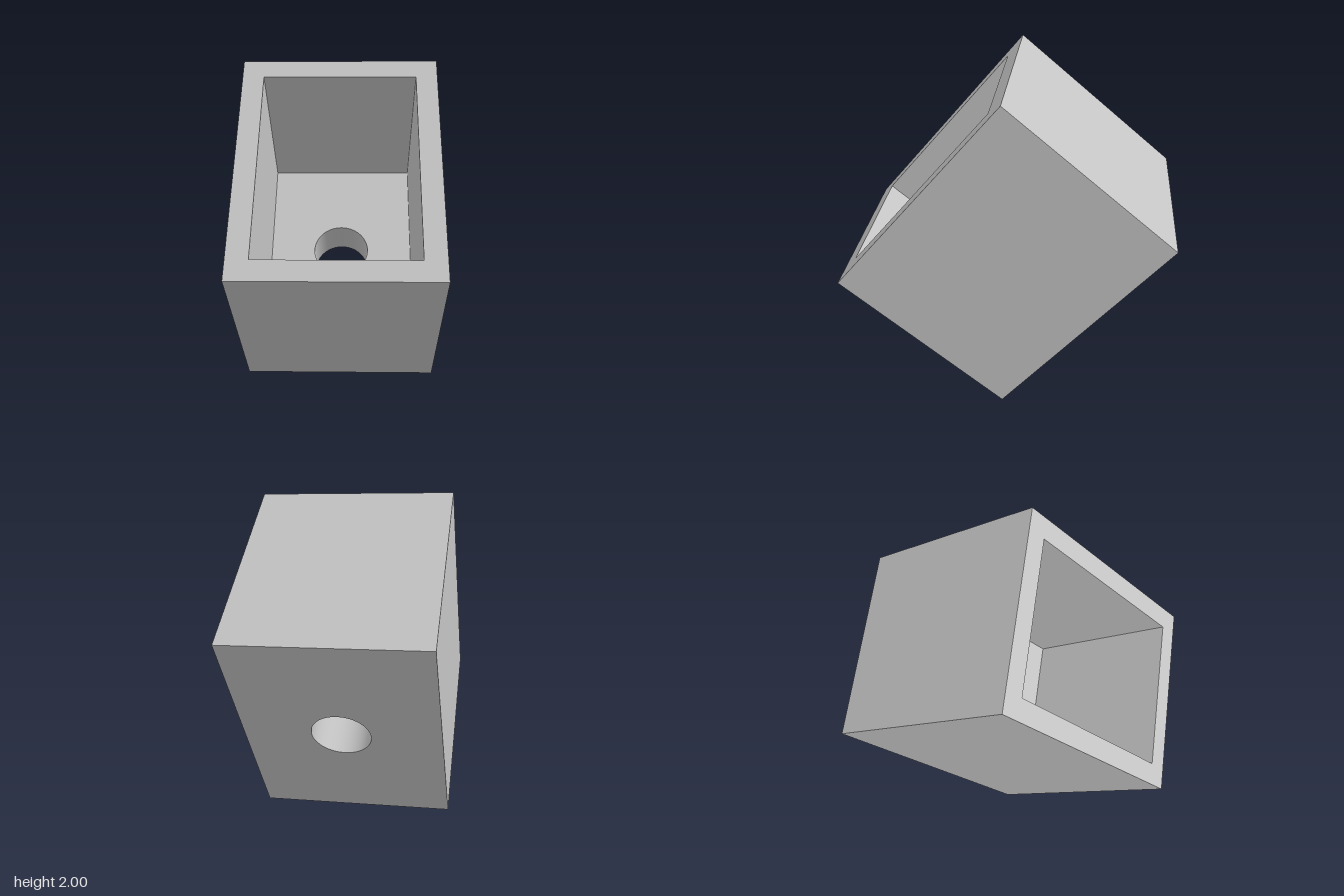
import * as THREE from 'three';
import { toCreasedNormals } from 'three/addons/utils/BufferGeometryUtils.js';

const WIDTH = 1.19, HEIGHT = 1.535, DEPTH = 1.283;
const WALL = 0.13, BACK = 0.265, HOLE_RADIUS = 0.178;
const TILT = THREE.MathUtils.degToRad(40);

// Centred rectangular outline
function rectangle(PathType, w, h) {
  return new PathType([
    new THREE.Vector2(-w / 2, -h / 2), new THREE.Vector2(w / 2, -h / 2),
    new THREE.Vector2(w / 2, h / 2), new THREE.Vector2(-w / 2, h / 2),
  ]);
}

// Box-shaped slab with one cut-out, running from z0 forward
function slab(name, cutout, z0, depth, material) {
  const shape = rectangle(THREE.Shape, WIDTH, HEIGHT);
  shape.holes.push(cutout);
  const extruded = new THREE.ExtrudeGeometry(shape, { depth, bevelEnabled: false, curveSegments: 48 });
  const mesh = new THREE.Mesh(toCreasedNormals(extruded, Math.PI / 6), material);
  mesh.name = name;
  mesh.position.z = z0;
  return mesh;
}

export function createModel() {
  const grey = new THREE.MeshStandardMaterial({ color: 0xc4c4c4 });
  grey.name = 'light grey';

  const housing = new THREE.Group();
  housing.name = 'tiltedHousing';

  // Four side walls around the open front
  const opening = rectangle(THREE.Path, WIDTH - 2 * WALL, HEIGHT - 2 * WALL);
  housing.add(slab('sideWalls', opening, -DEPTH / 2 + BACK, DEPTH - BACK, grey));

  // Thick back panel with a round through-hole
  const hole = new THREE.Path().absarc(0, 0, HOLE_RADIUS, 0, Math.PI * 2, true);
  housing.add(slab('backPanel', hole, -DEPTH / 2, BACK, grey));

  // Lean the open front upward, resting on the lower back edge
  housing.rotation.x = -TILT;
  housing.position.y = (HEIGHT * Math.cos(TILT) + DEPTH * Math.sin(TILT)) / 2;

  const model = new THREE.Group();
  model.name = 'openBox';
  model.add(housing);
  return model;
}
